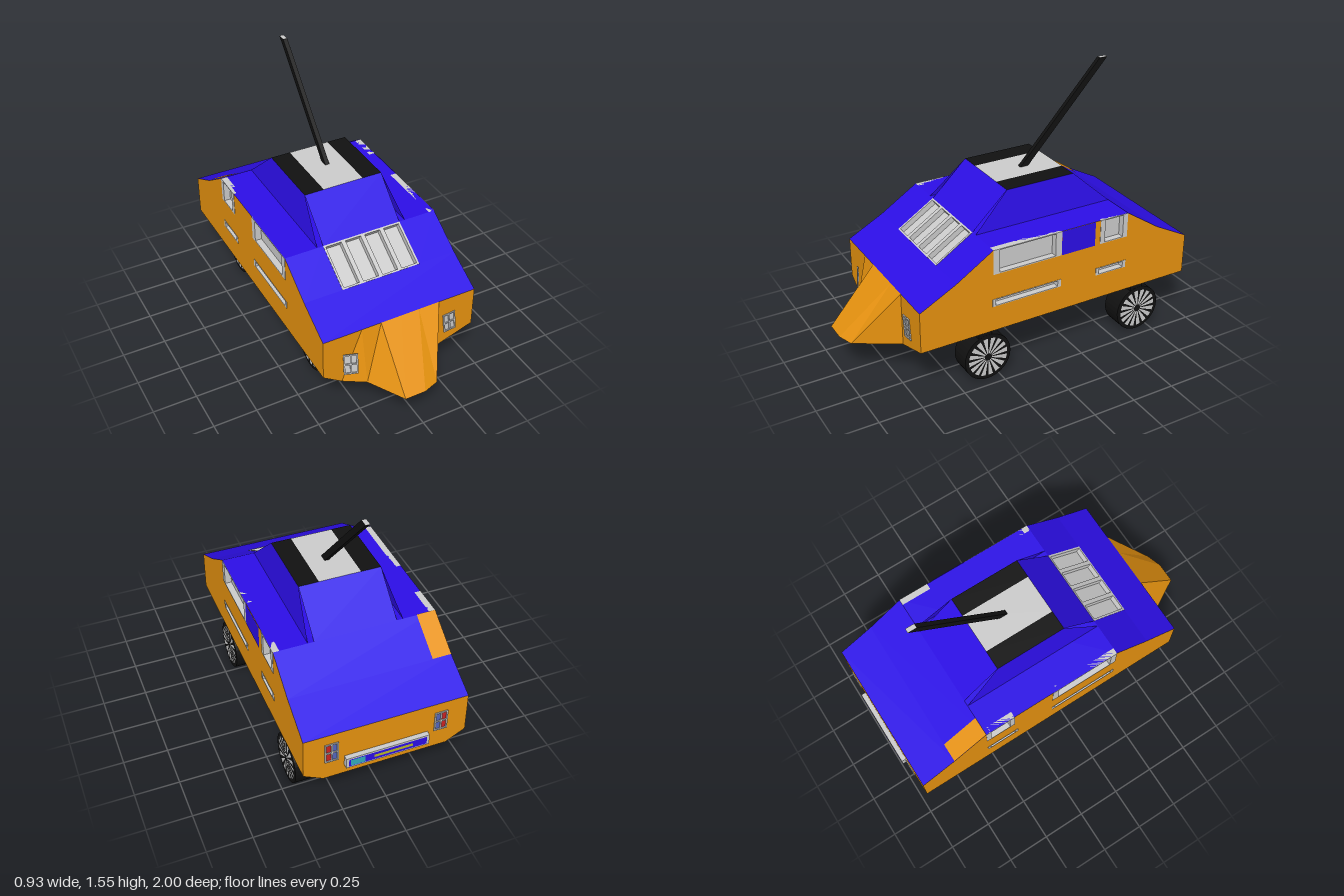
import * as THREE from 'three';

const mats = {};
const mat = (color) => (mats[color] ??= new THREE.MeshStandardMaterial({ color, side: THREE.DoubleSide, flatShading: true }));
const GREY = 0xcccccc, ORANGE = 0xe6920f, BLUE = 0x2c0ee6, BLACK = 0x111111;

function add(parent, name, geometry, color, x = 0, y = 0, z = 0) {
  const m = new THREE.Mesh(geometry, mat(color));
  m.name = name;
  m.position.set(x, y, z);
  parent.add(m);
  return m;
}

// Flat convex panel from its corners, counter-clockwise from outside
function panel(parent, name, color, pts) {
  const g = new THREE.BufferGeometry();
  const v = [];
  for (let i = 1; i < pts.length - 1; i++) v.push(...pts[0], ...pts[i], ...pts[i + 1]);
  g.setAttribute('position', new THREE.Float32BufferAttribute(v, 3));
  g.computeVertexNormals();
  return add(parent, name, g, color);
}

// Full-width strip between two (z, y) profile points
const strip = (parent, name, color, [z0, y0], [z1, y1], x0 = -0.46, x1 = 0.46) =>
  panel(parent, name, color, [[x0, y0, z0], [x1, y0, z0], [x1, y1, z1], [x0, y1, z1]]);

// Framed window facing local +z: pane set back, bars reaching forward
function framedWindow(parent, name, w, h, { back = -0.035, front = 0.002, side = 0.02, edge = 0.01, cols = 1, rows = 1, bar = 0.025, panes = [GREY] } = {}) {
  const g = new THREE.Group();
  g.name = name;
  parent.add(g);
  const d = front - back, zc = (front + back) / 2;
  for (let i = 0; i < cols; i++)
    add(g, 'pane', new THREE.PlaneGeometry(w / cols, h), panes[i % panes.length], -w / 2 + (i + 0.5) * w / cols, 0, back);
  for (const s of [-1, 1]) {
    add(g, 'frameUpright', new THREE.BoxGeometry(side, h, d), GREY, s * (w - side) / 2, 0, zc);
    add(g, 'frameRail', new THREE.BoxGeometry(w, edge, d), GREY, 0, s * (h - edge) / 2, zc);
  }
  for (let i = 1; i < cols; i++) add(g, 'mullion', new THREE.BoxGeometry(bar, h, d), GREY, -w / 2 + i * w / cols, 0, zc);
  for (let j = 1; j < rows; j++) add(g, 'crossbar', new THREE.BoxGeometry(w, bar, d), GREY, 0, -h / 2 + j * h / rows, zc);
  return g;
}

function buildHull(root) {
  const hull = new THREE.Group();
  hull.name = 'hull';
  root.add(hull);

  // Sloped blue skin, with the windshield opening left free
  strip(hull, 'bonnet', BLUE, [0.73, 0.55], [0.52, 0.66]);
  for (const s of [-1, 1])
    strip(hull, 'windshieldSurround', BLUE, [0.52, 0.66], [0.3, 0.8], s < 0 ? -0.46 : 0.235, s < 0 ? -0.235 : 0.46);
  strip(hull, 'shoulderDeck', BLUE, [0.3, 0.8], [-0.55, 0.8]);
  strip(hull, 'rearSlope', BLUE, [-0.55, 0.8], [-0.76, 0.66]);
  strip(hull, 'rearDeck', BLUE, [-0.76, 0.66], [-0.97, 0.55]);
  strip(hull, 'orangePatch', ORANGE, [-0.55, 0.804], [-0.76, 0.664], -0.46, -0.35);

  // Side walls, notched for windows and pierced for the low slots
  const wall = new THREE.Shape([
    [0.73, 0.31], [0.73, 0.55], [0.52, 0.66], [0.3, 0.8], [0.3, 0.655], [-0.12, 0.655], [-0.12, 0.8],
    [-0.37, 0.8], [-0.37, 0.655], [-0.55, 0.655], [-0.55, 0.8], [-0.76, 0.66], [-0.97, 0.55], [-0.97, 0.31],
  ].map(([z, y]) => new THREE.Vector2(z, y)));
  const slots = [[0.305, -0.12], [-0.35, -0.55]];
  for (const [a, b] of slots)
    wall.holes.push(new THREE.Path([[a, 0.46], [b, 0.46], [b, 0.505], [a, 0.505]].map(([z, y]) => new THREE.Vector2(z, y))));
  const wallGeo = new THREE.ShapeGeometry(wall).rotateY(-Math.PI / 2);
  for (const s of [-1, 1]) {
    add(hull, 'sideWall', wallGeo, ORANGE, s * 0.46);
    const place = (name, a, b, y, h, opts) => {
      const w = framedWindow(hull, name, a - b, h, opts);
      w.position.set(s * 0.46, y, (a + b) / 2);
      w.rotation.y = s * Math.PI / 2;
    };
    place('frontSideWindow', 0.3, -0.12, 0.7275, 0.145, { side: 0.038, edge: 0.006 });
    place('rearSideWindow', -0.37, -0.55, 0.7275, 0.145, { side: 0.03, edge: 0.006 });
    for (const [a, b] of slots) place('sideSlot', a, b, 0.4825, 0.045, { edge: 0.005 });
  }
  add(hull, 'bluePillar', new THREE.PlaneGeometry(0.215, 0.145).rotateY(Math.PI / 2), BLUE, 0.463, 0.7275, -0.2275);

  // Four-pane windshield
  const shield = framedWindow(hull, 'windshield', 0.47, 0.261, { back: -0.03, cols: 4, side: 0.012 });
  shield.position.set(0, 0.73, 0.41);
  shield.rotation.x = -Math.atan2(0.22, 0.14);

  // Front end lofted from the bonnet edge down to the pointed nose
  const low = [
    [-0.46, 0.31, 0.73], [-0.35, 0.235, 0.73], [-0.235, 0.235, 0.8], [-0.12, 0.235, 1],
    [0, 0.235, 1], [0.09, 0.235, 0.97], [0.235, 0.235, 0.73], [0.46, 0.31, 0.73],
  ];
  const topX = [-0.46, -0.35, -0.235, -0.12, 0, 0.11, 0.235, 0.46];
  for (let i = 0; i < low.length - 1; i++)
    panel(hull, 'nose', ORANGE, [low[i], low[i + 1], [topX[i + 1], 0.55, 0.73], [topX[i], 0.55, 0.73]]);

  // Underside: flat floor, nose bottom and front ramp
  strip(hull, 'floor', GREY, [-0.97, 0.31], [0.52, 0.31]);
  panel(hull, 'noseBottom', GREY, low.slice(1, 7).reverse());
  const ramp = [[-0.46, 0.31, 0.52], [-0.35, 0.31, 0.52], [0.235, 0.31, 0.52], [0.46, 0.31, 0.52]];
  const lip = [low[0], low[1], low[6], low[7]];
  for (let i = 0; i < 3; i++) panel(hull, 'frontRamp', GREY, [ramp[i], ramp[i + 1], lip[i + 1], lip[i]]);

  // Rear face with its lower wedge
  const A = [-0.46, 0.31, -0.97], B = [-0.35, 0.25, -0.97], C = [0.35, 0.25, -0.97], D = [0.46, 0.31, -0.97];
  panel(hull, 'rearFace', ORANGE, [[-0.46, 0.55, -0.97], [0.46, 0.55, -0.97], D, C, B, A]);
  const E = [-0.35, 0.309, -0.77], F = [0.35, 0.309, -0.77];
  panel(hull, 'rearWedge', ORANGE, [B, C, F, E]);
  panel(hull, 'rearWedgeSide', ORANGE, [A, B, E]);
  panel(hull, 'rearWedgeSide', ORANGE, [C, D, F]);
}

function buildLights(root) {
  const lamp = { back: 0.003, front: 0.009, side: 0.008, edge: 0.008, cols: 2, rows: 2, bar: 0.008 };
  const left = framedWindow(root, 'leftHeadlight', 0.075, 0.125, lamp);
  left.position.set(0.308, 0.385, 0.73);
  left.rotation.z = 0.12;
  const right = framedWindow(root, 'rightHeadlight', 0.078, 0.13, lamp);
  right.position.set(-0.308, 0.36, 0.748);
  right.rotation.set(-0.08, -0.35, 0);
  for (const s of [-1, 1]) {
    const tail = framedWindow(root, 'tailLight', 0.075, 0.125, { ...lamp, panes: s > 0 ? [0xcc2222, 0x5566bb] : [0x5566bb, 0xcc2222] });
    tail.position.set(s * 0.307, 0.43, -0.97);
    tail.rotation.y = Math.PI;
  }
  // Plain rear plate
  add(root, 'rearPlateFrame', new THREE.BoxGeometry(0.47, 0.065, 0.028), GREY, 0, 0.34, -0.984);
  const field = (name, w, h, color, x, z) => add(root, name, new THREE.PlaneGeometry(w, h).rotateY(Math.PI), color, x, 0.34, z);
  field('rearPlate', 0.44, 0.048, BLUE, 0, -0.999);
  field('rearPlatePatch', 0.08, 0.04, 0x33aabb, 0.17, -1);
  field('rearPlateStripe', 0.22, 0.018, 0xb5b52a, -0.03, -1);
}

function buildCabin(root) {
  const cabin = new THREE.Group();
  cabin.name = 'cabin';
  root.add(cabin);
  strip(cabin, 'cabinFront', BLUE, [0.3, 0.8], [0.09, 1], -0.235, 0.235);
  strip(cabin, 'cabinRear', BLUE, [-0.33, 1], [-0.55, 0.8], -0.235, 0.235);
  for (const s of [-1, 1]) {
    const pts = [[s * 0.27, 0.8, 0.3], [s * 0.27, 0.8, -0.55], [s * 0.235, 1, -0.33], [s * 0.235, 1, 0.09]];
    panel(cabin, 'cabinSide', BLUE, s > 0 ? pts : pts.reverse());
    strip(cabin, 'roofBand', BLACK, [0.09, 1], [-0.33, 1], s > 0 ? 0.12 : -0.235, s > 0 ? 0.235 : -0.12);
  }
  strip(cabin, 'roofCentre', GREY, [0.09, 1], [-0.33, 1], -0.12, 0.12);

  // Raked mast: a box sheared backwards, ends level
  const mast = new THREE.BoxGeometry(0.025, 0.55, 0.05);
  mast.applyMatrix4(new THREE.Matrix4().makeShear(0, 0, 0, -0.505 / 0.55, 0, 0));
  const p = mast.attributes.position;
  for (let i = 0; i < p.count; i++) p.setZ(i, (i % 1) + p.getZ(i));
  add(cabin, 'mast', mast, BLACK, 0.011, 1.275, -0.397);
  add(cabin, 'mastTip', new THREE.PlaneGeometry(0.025, 0.05).rotateX(-Math.PI / 2), GREY, 0.011, 1.551, -0.65);
}

function buildWheel(root, x, z, s) {
  const wheel = new THREE.Group();
  wheel.name = 'wheel';
  wheel.position.set(x, 0.14, z);
  root.add(wheel);
  add(wheel, 'tyre', new THREE.CylinderGeometry(0.14, 0.14, 0.122, 32).rotateZ(Math.PI / 2), BLACK);
  // Sixteen wedge spokes on the outer face
  const n = 16, step = 2 * Math.PI / n;
  for (let i = 0; i < n; i++)
    add(wheel, 'spoke', new THREE.CircleGeometry(0.118, 2, i * step, step * 0.62).rotateY(s * Math.PI / 2), GREY, s * 0.063);
  add(wheel, 'hub', new THREE.CircleGeometry(0.022, 16).rotateY(s * Math.PI / 2), BLACK, s * 0.0645);
  add(wheel, 'strut', new THREE.BoxGeometry(0.12, 0.07, 0.08), BLACK, 0, 0.15, 0.015);
}

export function createModel() {
  const root = new THREE.Group();
  root.name = 'vehicle';
  buildHull(root);
  buildLights(root);
  buildCabin(root);
  for (const z of [0.325, -0.67]) {
    buildWheel(root, 0.382, z, 1);
    buildWheel(root, -0.275, z, -1);
  }
  return root;
}
